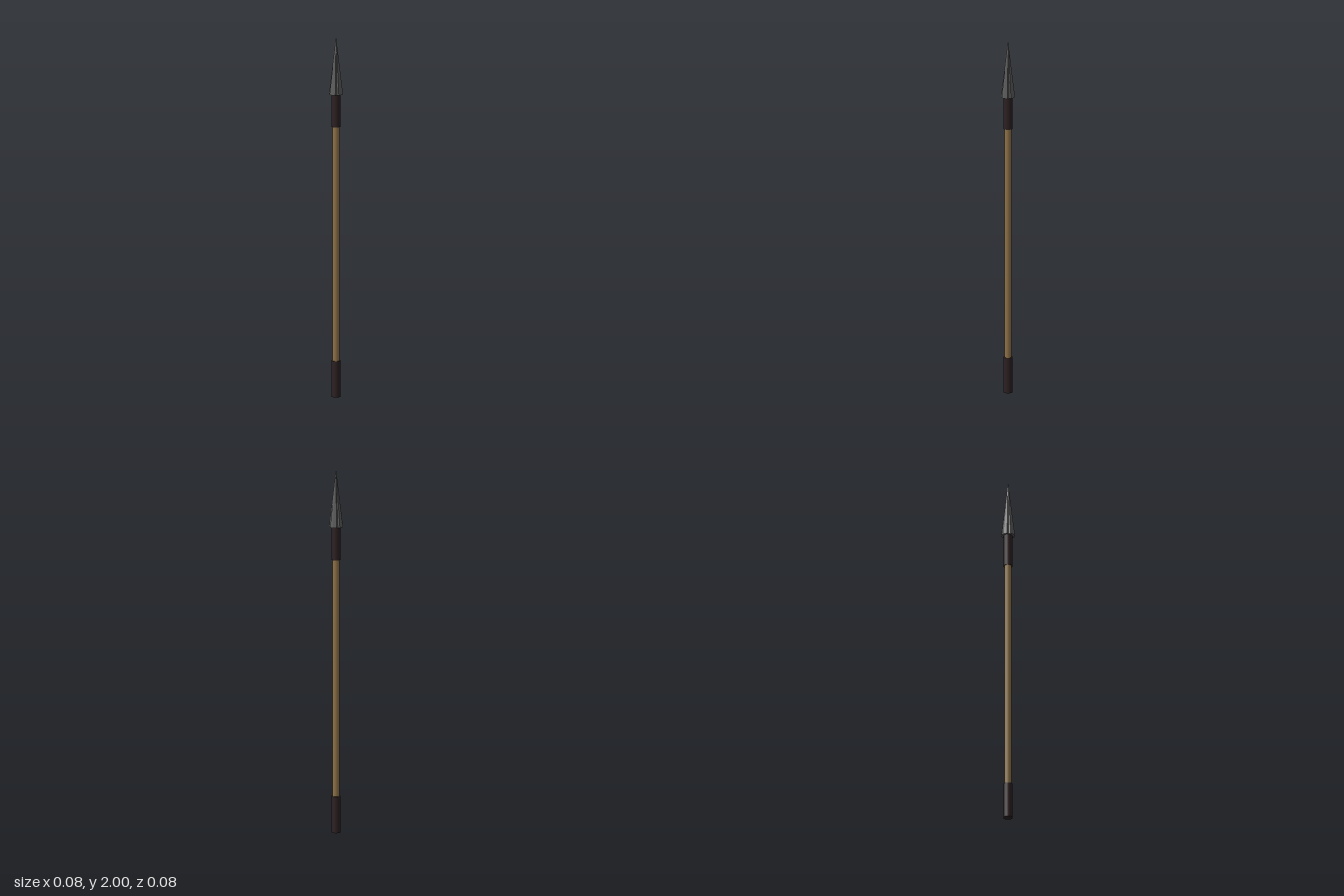
import * as THREE from 'three';

export function createModel() {
  const spear = new THREE.Group();
  spear.name = 'spear';

  const material = (name, color) => {
    const m = new THREE.MeshStandardMaterial({ color });
    m.name = name;
    return m;
  };
  const wood = material('wood', 0x8f7347);
  const leather = material('darkLeather', 0x2c2022);
  const steel = material('darkSteel', 0x5c5c5c);
  steel.flatShading = true;

  // Upright cylinder between two heights
  const rod = (name, radius, y0, y1, mat) => {
    const mesh = new THREE.Mesh(new THREE.CylinderGeometry(radius, radius, y1 - y0, 16), mat);
    mesh.position.y = (y0 + y1) / 2;
    mesh.name = name;
    spear.add(mesh);
  };
  rod('shaft', 0.02, 0.19, 1.51, wood);
  rod('buttWrap', 0.025, 0, 0.2, leather);
  rod('neckWrap', 0.025, 1.5, 1.69, leather);

  // Four-lobed head: a cone whose base is notched on the diagonals
  const ring = [];
  for (let quarter = 0; quarter < 4; quarter++) {
    for (const [degrees, radius] of [[0, 0.038], [30, 0.038], [45, 0.031], [60, 0.038]]) {
      const a = THREE.MathUtils.degToRad(quarter * 90 + degrees);
      ring.push([Math.sin(a) * radius, 1.68, Math.cos(a) * radius]);
    }
  }
  const corners = [];
  ring.forEach((p, i) => {
    const q = ring[(i + 1) % ring.length];
    corners.push(...p, ...q, 0, 2, 0); // side
    corners.push(...q, ...p, 0, 1.68, 0); // underside
  });
  const headGeometry = new THREE.BufferGeometry();
  headGeometry.setAttribute('position', new THREE.Float32BufferAttribute(corners, 3));
  headGeometry.computeVertexNormals();
  const head = new THREE.Mesh(headGeometry, steel);
  head.name = 'spearhead';
  spear.add(head);

  return spear;
}
